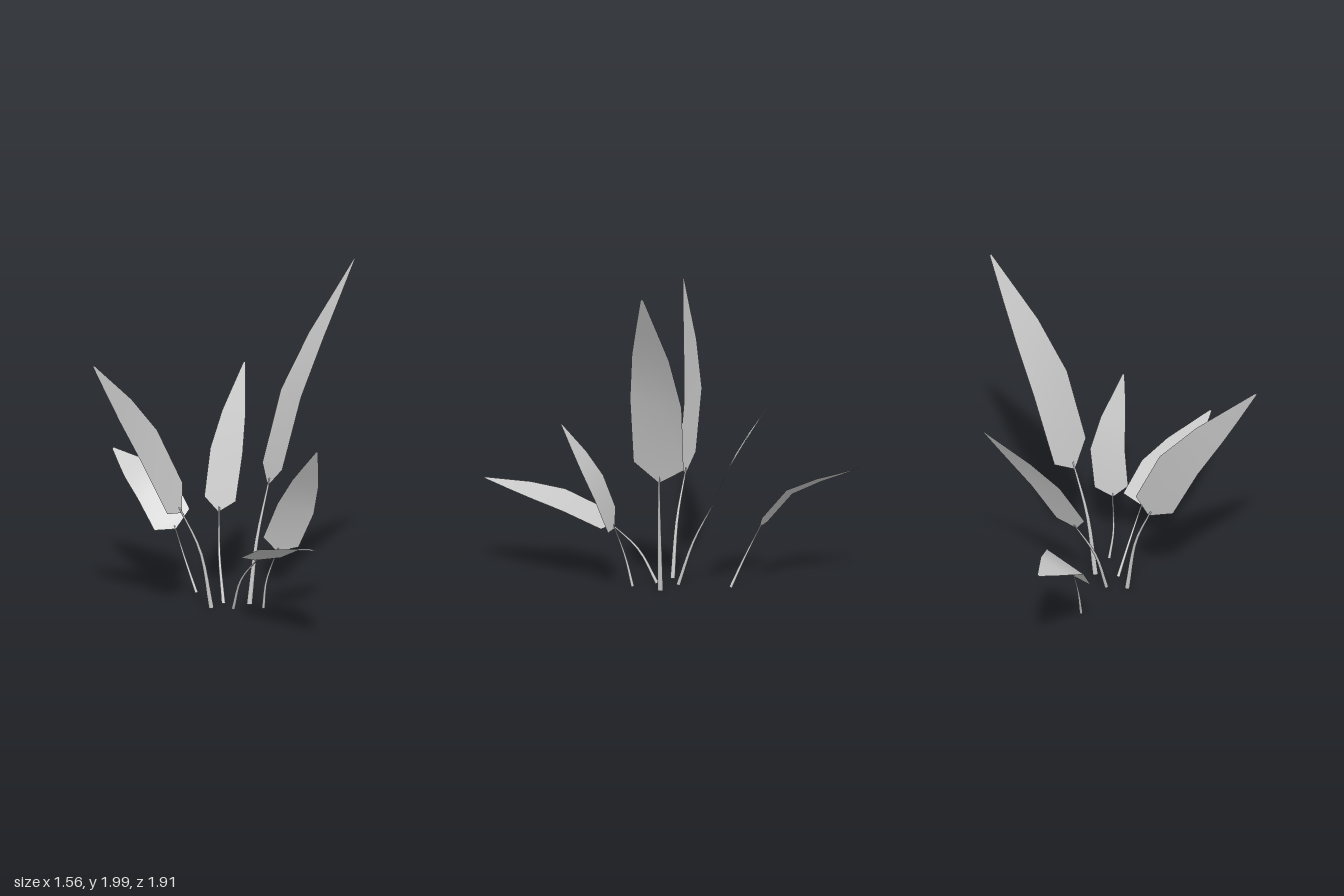
import * as THREE from 'three';

const material = new THREE.MeshStandardMaterial({ color: 0xcccccc, side: THREE.DoubleSide });
const vec = (p) => new THREE.Vector3(...p);

// Blade outline: [distance along the rib, half-width], from joint to tip
const PROFILE = [[0, 0.04], [0.08, 0.97], [0.39, 1], [0.65, 0.72], [0.81, 0.42], [1, 0.05]];

// ground and bend shape the stem; joint, middle and tip shape the rib; side is the half-width
const LEAVES = {
  leftLeaf: {
    ground: [-0.075, 0.015, 0.005], bend: [-0.14, 0.36, 0.02],
    joint: [-0.25, 0.6, 0.04], middle: [-0.435, 1.01, 0.12], tip: [-0.78, 1.59, 0.44],
    side: [0.05, 0.07, -0.1],
  },
  tallLeaf: {
    ground: [0.15, 0.015, -0.07], bend: [0.195, 0.4, -0.095],
    joint: [0.26, 0.71, -0.14], middle: [0.405, 1.26, -0.22], tip: [0.775, 2, -0.39],
    side: [0.053, 0.015, 0.147],
  },
  backLeaf: {
    ground: [0, 0.015, -0.09], bend: [-0.02, 0.28, -0.18],
    joint: [-0.02, 0.51, -0.31], middle: [0.035, 0.83, -0.49], tip: [0.155, 1.27, -0.84],
    side: [0.096, -0.027, -0.037],
  },
  rightLeaf: {
    ground: [0.225, 0.03, 0.075], bend: [0.24, 0.2, 0.115],
    joint: [0.3, 0.39, 0.15], middle: [0.4, 0.63, 0.175], tip: [0.525, 1.04, 0.37],
    side: [0.108, -0.045, -0.05],
  },
  frontLeaf: {
    ground: [0.052, 0.015, 0.025], bend: [0.09, 0.21, 0.13],
    joint: [0.17, 0.365, 0.26], middle: [0.295, 0.49, 0.5], tip: [0.49, 0.6, 0.95],
    side: [0.125, -0.022, -0.08],
  },
  backLeftLeaf: {
    ground: [-0.145, 0.01, -0.36], bend: [-0.21, 0.2, -0.42],
    joint: [-0.26, 0.365, -0.48], middle: [-0.36, 0.565, -0.6], tip: [-0.605, 0.73, -0.955],
    side: [0.108, 0.05, -0.058],
  },
};

// Curved stalk, thinning towards the blade
function makeStem(curve, radius) {
  const rings = 8, sides = 8;
  const geometry = new THREE.TubeGeometry(curve, rings, radius, sides);
  const pos = geometry.attributes.position;
  const p = new THREE.Vector3();
  for (let i = 0; i < pos.count; i++) {
    const t = Math.floor(i / (sides + 1)) / rings;
    const centre = curve.getPointAt(t);
    p.fromBufferAttribute(pos, i).sub(centre).multiplyScalar(1 - 0.65 * t).add(centre);
    pos.setXYZ(i, p.x, p.y, p.z);
  }
  return new THREE.Mesh(geometry, material);
}

// Thin blade: each row runs from one edge across the rib to the other edge
function makeBlade(rib, side) {
  const positions = [], index = [];
  PROFILE.forEach(([along, width], row) => {
    for (const across of [-1, 0, 1]) {
      positions.push(...rib.getPointAt(along).addScaledVector(side, across * width).toArray());
    }
    if (row === 0) return;
    for (let col = 0; col < 2; col++) {
      const a = (row - 1) * 3 + col, b = a + 3;
      index.push(a, a + 1, b + 1, a, b + 1, b);
    }
  });
  const geometry = new THREE.BufferGeometry();
  geometry.setAttribute('position', new THREE.Float32BufferAttribute(positions, 3));
  geometry.setIndex(index);
  geometry.computeVertexNormals();
  return new THREE.Mesh(geometry, material);
}

export function createModel() {
  const plant = new THREE.Group();
  plant.name = 'leafyPlant';
  for (const [name, leaf] of Object.entries(LEAVES)) {
    const rib = new THREE.CatmullRomCurve3([leaf.joint, leaf.middle, leaf.tip].map(vec));
    // The stalk runs a little way into the blade; longer blades have thicker stalks
    const stalk = new THREE.CatmullRomCurve3([vec(leaf.ground), vec(leaf.bend), rib.getPointAt(0.03)]);
    const stem = makeStem(stalk, 0.003 + 0.0095 * rib.getLength());
    stem.name = 'stem';
    const blade = makeBlade(rib, vec(leaf.side));
    blade.name = 'blade';
    const group = new THREE.Group();
    group.name = name;
    group.add(stem, blade);
    plant.add(group);
  }
  return plant;
}
